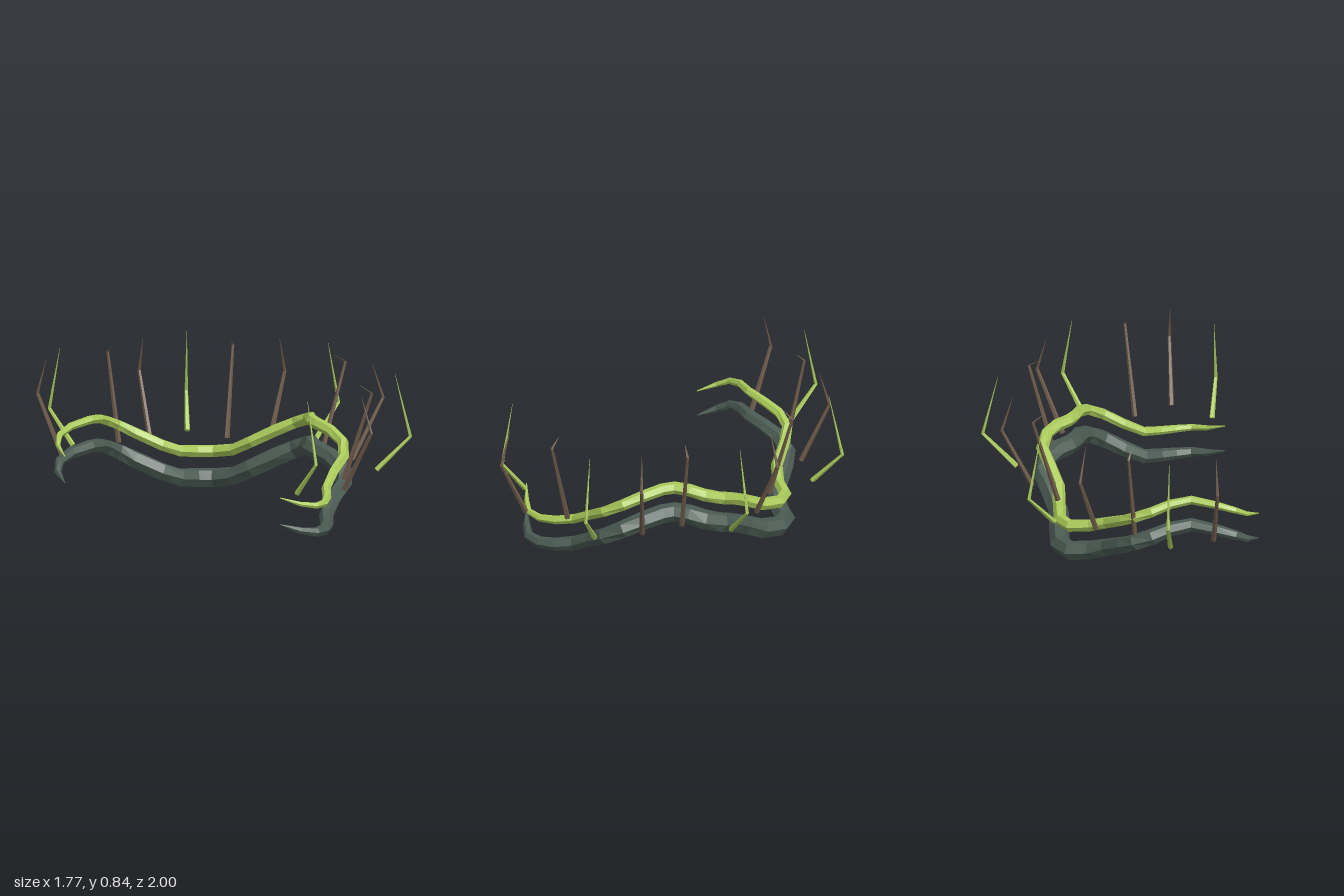
import * as THREE from 'three';

const material = (name, color) => {
  const m = new THREE.MeshStandardMaterial({ color, flatShading: true });
  m.name = name;
  return m;
};

// Sweeps a faceted ring of varying radius through the points and caps both ends.
function sweep(points, radii, sides, up) {
  const pos = [], index = [], last = points.length - 1;
  points.forEach((p, i) => {
    const t = points[Math.min(i + 1, last)].clone().sub(points[Math.max(i - 1, 0)]).normalize();
    const side = t.clone().cross(up).normalize();
    const n = side.clone().cross(t);
    for (let j = 0; j < sides; j++) {
      const a = (j / sides) * Math.PI * 2;
      const v = p.clone()
        .addScaledVector(side, radii[i] * Math.cos(a))
        .addScaledVector(n, radii[i] * Math.sin(a));
      pos.push(v.x, v.y, v.z);
    }
  });
  for (let i = 0; i < last; i++) {
    for (let j = 0; j < sides; j++) {
      const a = i * sides + j, b = i * sides + (j + 1) % sides;
      index.push(a, a + sides, b, b, a + sides, b + sides);
    }
  }
  const e = last * sides;
  for (let j = 1; j < sides - 1; j++) index.push(0, j, j + 1, e, e + j + 1, e + j);
  const g = new THREE.BufferGeometry();
  g.setAttribute('position', new THREE.Float32BufferAttribute(pos, 3));
  g.setIndex(index);
  g.computeVertexNormals();
  return g;
}

// Centre line of the winding lower band: x, y, z
const PATH = [
  [-0.88, 0.22, -0.35], [-0.865, 0.26, -0.46], [-0.82, 0.3, -0.525], [-0.72, 0.33, -0.57],
  [-0.58, 0.345, -0.6], [-0.48, 0.325, -0.67], [-0.4, 0.29, -0.74], [-0.31, 0.25, -0.77],
  [-0.22, 0.2, -0.74], [-0.08, 0.125, -0.67], [0.03, 0.08, -0.66], [0.15, 0.06, -0.68],
  [0.24, 0.06, -0.63], [0.3, 0.085, -0.52], [0.36, 0.15, -0.41], [0.46, 0.22, -0.32],
  [0.55, 0.275, -0.24], [0.575, 0.315, -0.14], [0.55, 0.34, -0.06], [0.515, 0.345, 0.02],
  [0.515, 0.34, 0.09], [0.54, 0.32, 0.2], [0.55, 0.28, 0.32], [0.5, 0.22, 0.42],
  [0.4, 0.155, 0.48], [0.31, 0.09, 0.56], [0.26, 0.065, 0.66], [0.2, 0.055, 0.74],
  [0.12, 0.06, 0.79], [0.02, 0.08, 0.785], [-0.1, 0.125, 0.765],
];

// Thorns: base x, z, then knee x, z, then kind (0 low green, 1 middle brown, 2 high brown)
const THORNS = [
  [-0.74, -0.64, -0.83, -0.765, 1], [-0.565, -0.83, -0.63, -0.99, 0],
  [-0.305, -0.765, -0.318, -0.87, 2], [-0.08, -0.81, -0.06, -0.97, 1],
  [0.175, -0.83, 0.255, -0.99, 0], [0.285, -0.565, 0.387, -0.68, 2],
  [0.505, -0.455, 0.65, -0.55, 1], [0.695, -0.275, 0.88, -0.335, 0],
  [0.595, -0.008, 0.75, -0.015, 2], [0.66, 0.23, 0.84, 0.265, 1],
  [0.665, 0.505, 0.84, 0.585, 0], [0.395, 0.615, 0.515, 0.725, 2],
  [0.275, 0.835, 0.367, 0.99, 1], [-0.005, 0.79, 0.042, 0.93, 0],
];
const KNEE_Y = [0.49, 0.65, 0.81];
const KNEE_R = [0.0105, 0.01, 0.008];
const BACK = [0.45, 0.36, 0.47]; // how far the tip leans back towards the base

export function createModel() {
  const dark = material('dark slate green', 0x4a5b53);
  const green = material('leaf green', 0xaacb5a);
  const brown = material('bark brown', 0x6e5b4a);
  const model = new THREE.Group();
  model.name = 'thornCrown';
  const add = (name, geometry, mat) => {
    const mesh = new THREE.Mesh(geometry, mat);
    mesh.name = name;
    model.add(mesh);
  };

  // Two parallel tapering bands
  const up = new THREE.Vector3(0, 1, 0);
  const band = (name, lift, radius, mat) => {
    const pts = PATH.map(([x, y, z]) => new THREE.Vector3(x, y + lift, z));
    const radii = pts.map((_, i) =>
      0.003 + radius * Math.sqrt(Math.max(0, Math.sin((Math.PI * i) / (pts.length - 1)))));
    add(name, sweep(pts, radii, 6, up), mat);
  };
  band('lowerVine', 0, 0.055, dark);
  band('upperVine', 0.155, 0.034, green);

  // Bent thorns standing around the bands
  THORNS.forEach(([bx, bz, kx, kz, kind], i) => {
    const base = new THREE.Vector3(bx, 0.3, bz);
    const knee = new THREE.Vector3(kx, KNEE_Y[kind], kz);
    const tip = knee.clone().lerp(base, BACK[kind]).setY(0.855);
    const across = new THREE.Vector3(bz - kz, 0, kx - bx).normalize();
    add(`thorn${i + 1}`,
      sweep([base, knee, tip], [0.016, KNEE_R[kind], 0.001], 5, across),
      kind === 0 ? green : brown);
  });
  return model;
}
